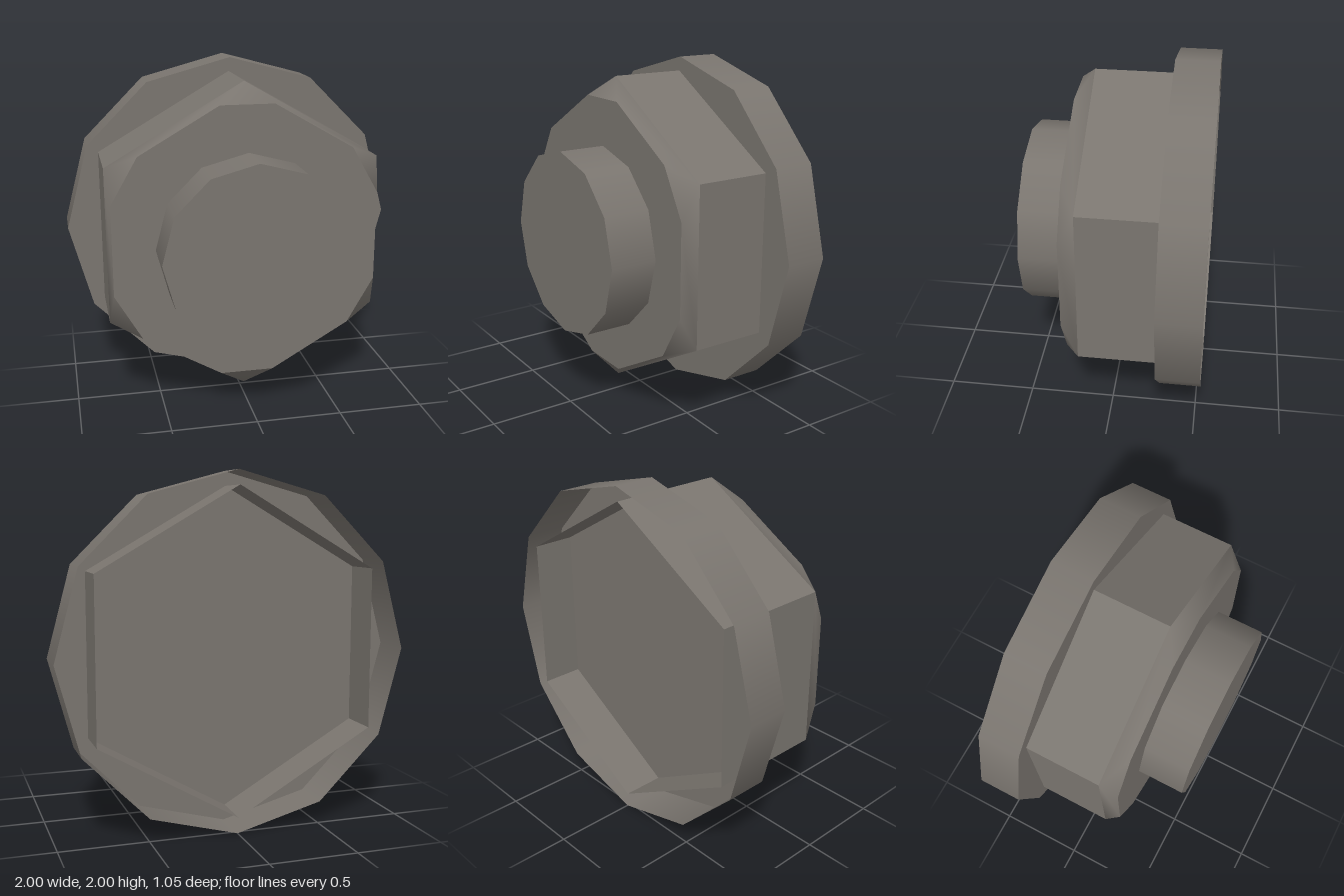
import * as THREE from 'three';

const CENTER_Y = 1;
const HEX_R = 0.915;      // corner radius of the hexagonal body
const FACE_R = 0.813;     // corner radius of its chamfered front face
const SPREAD = THREE.MathUtils.degToRad(11); // chamfer points either side of a corner

export function createModel() {
  const model = new THREE.Group();
  const metal = new THREE.MeshStandardMaterial({ color: 0x7a756f, side: THREE.DoubleSide });
  metal.name = 'warm grey metal';

  const add = (name, geometry, x = 0, y = CENTER_Y) => {
    const mesh = new THREE.Mesh(geometry, metal);
    mesh.name = name;
    mesh.position.set(x, y, 0);
    model.add(mesh);
    return mesh;
  };

  // Open prism wall running along z, one corner pointing down
  const wall = (radius, sides, zBack, zFront) =>
    new THREE.CylinderGeometry(radius, radius, zFront - zBack, sides, 1, true)
      .rotateX(Math.PI / 2)
      .translate(0, 0, (zBack + zFront) / 2);
  const disc = (radius, z) => new THREE.CircleGeometry(radius, 12).translate(0, 0, z);

  // Flange: a hollow rim, closed only at its front
  add('flangeRim', wall(1, 12, -0.525, -0.28));
  add('flangePlate', disc(1, -0.28));

  // Hexagonal body: its walls continue behind the plate to the open back
  const hex = wall(HEX_R, 6, -0.525, 0.155).toNonIndexed();
  hex.computeVertexNormals();
  add('hexBody', hex, -0.007, 1.004);

  // Chamfer: a triangle at each hexagon corner, a sloped quad along each side
  const points = [], index = [], outline = [];
  for (let i = 0; i < 6; i++) {
    const a = Math.PI / 6 + i * Math.PI / 3;
    points.push(HEX_R * Math.cos(a), HEX_R * Math.sin(a), 0.155);
    for (const t of [a - SPREAD, a + SPREAD]) {
      const x = FACE_R * Math.cos(t), y = FACE_R * Math.sin(t);
      points.push(x, y, 0.25);
      outline.push(new THREE.Vector2(x, y));
    }
    const c = i * 3, n = ((i + 1) % 6) * 3;
    index.push(c, c + 2, c + 1, c, n, n + 1, c, n + 1, c + 2);
  }
  const chamfer = new THREE.BufferGeometry();
  chamfer.setAttribute('position', new THREE.Float32BufferAttribute(points, 3));
  chamfer.setIndex(index);
  chamfer.computeVertexNormals();
  add('hexChamfer', chamfer, -0.007, 1.004);

  // Flat front of the body
  add('hexFace', new THREE.ShapeGeometry(new THREE.Shape(outline)).translate(0, 0, 0.25), -0.007, 1.004);

  // Round boss on the front
  add('bossWall', wall(0.533, 12, 0.25, 0.525));
  add('bossFace', disc(0.533, 0.525));

  return model;
}
